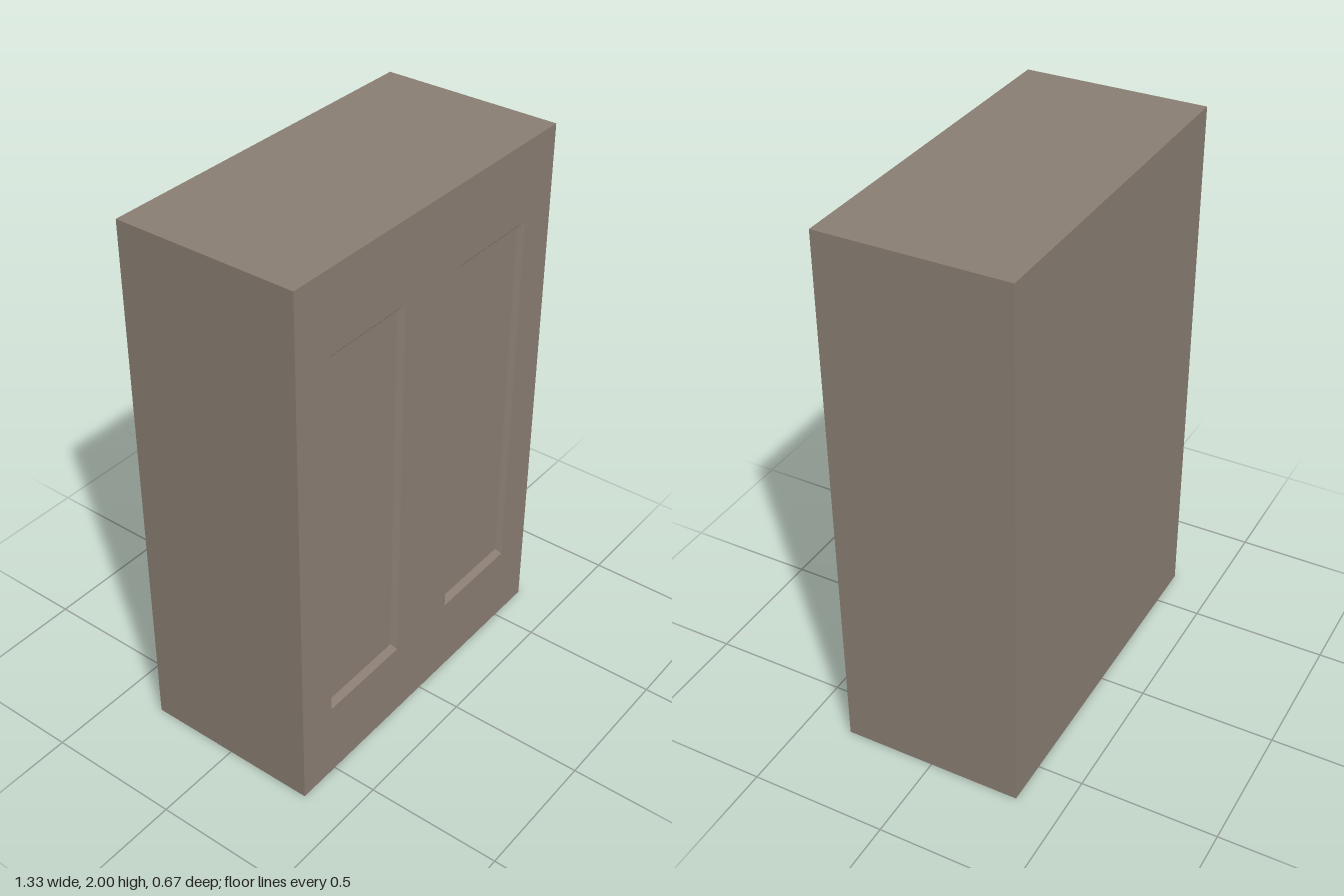
import * as THREE from 'three';

const W = 1.333, H = 2, D = 0.667;
const PANEL = { x: 0.33, y: 1.003, w: 0.37, h: 1.413 };
const INSET_X = 0.013, INSET_Y = 0.022, RECESS = 0.02;

// Corners of a rectangle, counter-clockwise seen from the front
function corners(x, y, w, h, z) {
  return [[-1, -1], [1, -1], [1, 1], [-1, 1]].map(([sx, sy]) =>
    new THREE.Vector3(x + sx * w / 2, y + sy * h / 2, z));
}

// Sloping border and flat floor of one sunken panel
function recessGeometry(x) {
  const { y, w, h } = PANEL;
  const outer = corners(x, y, w, h, D / 2);
  const inner = corners(x, y, w - 2 * INSET_X, h - 2 * INSET_Y, D / 2 - RECESS);
  const points = [];
  const quad = (a, b, c, d) => points.push(a, b, c, a, c, d);
  for (let i = 0; i < 4; i++) {
    const j = (i + 1) % 4;
    quad(outer[i], outer[j], inner[j], inner[i]);
  }
  quad(...inner);
  const geometry = new THREE.BufferGeometry().setFromPoints(points);
  geometry.computeVertexNormals();
  return geometry;
}

export function createModel() {
  const group = new THREE.Group();
  const material = new THREE.MeshStandardMaterial({ color: 0x8b7f74 });
  const add = (name, geometry) => {
    const mesh = new THREE.Mesh(geometry, material);
    mesh.name = name;
    group.add(mesh);
  };

  // Carcass: a box left open at the front
  const box = new THREE.BoxGeometry(W, H, D).translate(0, H / 2, 0);
  const index = Array.from(box.index.array);
  index.splice(24, 6);
  box.setIndex(index);
  box.clearGroups();
  add('carcass', box);

  // Front face with an opening for each panel
  const front = new THREE.Shape(corners(0, H / 2, W, H, 0).map(p => new THREE.Vector2(p.x, p.y)));
  for (const side of [-1, 1]) {
    const hole = corners(side * PANEL.x, PANEL.y, PANEL.w, PANEL.h, 0);
    front.holes.push(new THREE.Path(hole.map(p => new THREE.Vector2(p.x, p.y)).reverse()));
    add(side > 0 ? 'leftPanel' : 'rightPanel', recessGeometry(side * PANEL.x));
  }
  add('frontFrame', new THREE.ShapeGeometry(front).translate(0, 0, D / 2));

  return group;
}
